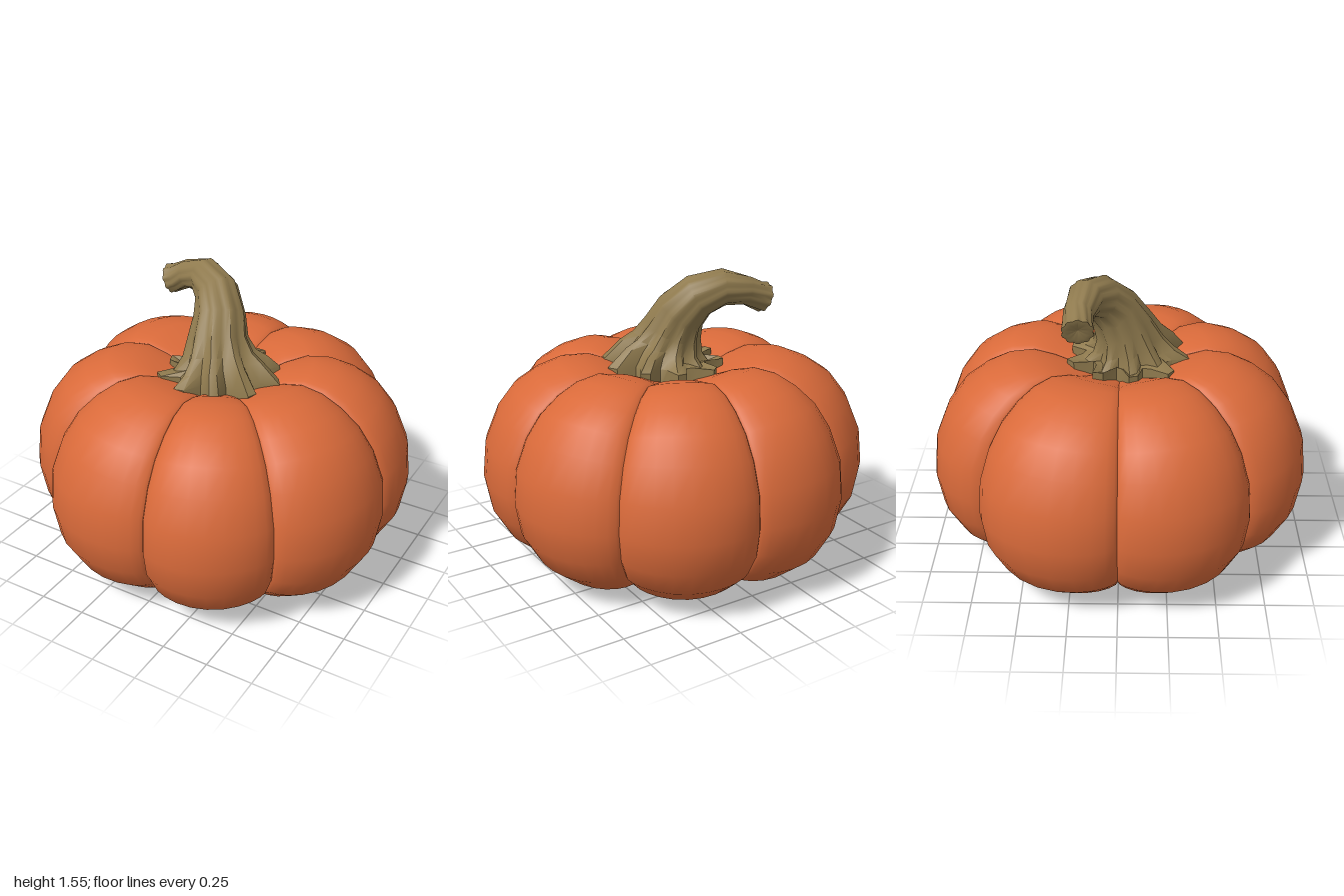
import * as THREE from 'three';
import { toCreasedNormals } from 'three/addons/utils/BufferGeometryUtils.js';

// Surface over a grid: j runs up the rows, i runs around the columns
function gridSurface(rows, cols, point) {
  const pos = [], index = [];
  for (let j = 0; j <= rows; j++)
    for (let i = 0; i <= cols; i++) pos.push(...point(i, j));
  for (let j = 0; j < rows; j++)
    for (let i = 0; i < cols; i++) {
      const a = j * (cols + 1) + i, b = a + 1, c = a + cols + 1, d = c + 1;
      index.push(a, c, b, b, c, d);
    }
  const g = new THREE.BufferGeometry();
  g.setAttribute('position', new THREE.Float32BufferAttribute(pos, 3));
  g.setIndex(index);
  g.computeVertexNormals();
  return g;
}

// Profiles as [radius, height], bottom centre to top centre
const crest = [
  [0, 0.17], [0.12, 0.13], [0.24, 0.06], [0.4, 0.015], [0.55, 0.005], [0.65, 0.02], [0.78, 0.065],
  [0.91, 0.17], [0.99, 0.31], [1.02, 0.48], [1.0, 0.67], [0.93, 0.84], [0.84, 0.96],
  [0.73, 1.035], [0.61, 1.085], [0.48, 1.095], [0.35, 1.065], [0.25, 1.025], [0.14, 0.99], [0, 0.97],
];
const groove = [
  [0, 0.17], [0.12, 0.15], [0.24, 0.11], [0.38, 0.07], [0.5, 0.055], [0.6, 0.07], [0.71, 0.115],
  [0.82, 0.21], [0.89, 0.33], [0.915, 0.48], [0.9, 0.65], [0.84, 0.8], [0.76, 0.91],
  [0.66, 0.99], [0.56, 1.04], [0.45, 1.06], [0.34, 1.035], [0.25, 1.0], [0.14, 0.98], [0, 0.97],
];

// Grooves around the body: angle from +x towards +z in degrees, radius; then the crest radius of the next lobe
const grooves = [
  [-1, 0.945, 1.025], [44, 0.93, 1.02], [84.5, 0.914, 1.01], [133, 0.89, 1.015],
  [180, 0.915, 1.03], [231.5, 0.87, 1.005], [275.6, 0.925, 1.02], [318, 0.935, 1.02], [359, 0.945, 0],
];

function lobeGeometry(k) {
  const [a0, r0, top] = grooves[k], [a1, r1] = grooves[k + 1];
  const cols = 12;
  return gridSurface(crest.length - 1, cols, (i, j) => {
    const t = (1 - Math.cos(Math.PI * i / cols)) / 2;
    const a = THREE.MathUtils.degToRad(a0 + (a1 - a0) * t);
    const bulge = Math.pow(Math.max(0, Math.sin(Math.PI * t)), 0.6);
    const low = groove[j][0] * (r0 + (r1 - r0) * t) / 0.915;
    const high = crest[j][0] * top / 1.02;
    const r = low + (high - low) * bulge;
    const y = groove[j][1] + (crest[j][1] - groove[j][1]) * bulge;
    return [r * Math.cos(a), y, r * Math.sin(a)];
  });
}

// Stem rings: x, y, z, radius, rib depth
const stemRings = [
  [0.03, 0.97, 0.05, 0.27, 0.2], [0.03, 1.065, 0.05, 0.27, 0.23], [0.02, 1.1, 0.05, 0.215, 0.17],
  [0.01, 1.15, 0.04, 0.178, 0.1], [-0.01, 1.23, 0.02, 0.15, 0.06], [-0.03, 1.33, -0.03, 0.13, 0.05],
  [-0.09, 1.42, -0.1, 0.112, 0.04], [-0.2, 1.462, -0.165, 0.092, 0.04],
  [-0.32, 1.435, -0.195, 0.073, 0.04], [-0.39, 1.4, -0.197, 0.072, 0.05], [-0.43, 1.385, -0.195, 0.078, 0.06],
];
const UP = new THREE.Vector3(0, 1, 0);
const RIBS = 10, SIDES = 40;

function stemPoint(i, j, shrink = 1, push = 0) {
  const at = (n) => new THREE.Vector3(...stemRings[n].slice(0, 3));
  const [, , , r, depth] = stemRings[j];
  const dir = j < 2 ? UP.clone()
    : at(Math.min(j + 1, stemRings.length - 1)).sub(at(j - 1)).normalize();
  const turn = new THREE.Quaternion().setFromUnitVectors(UP, dir);
  const a = (i % SIDES) / SIDES * Math.PI * 2;
  // Uneven root lengths at the foot
  const uneven = j < 2 ? 1 + 0.06 * Math.sin(3 * a + 1) : 1;
  const rr = r * uneven * shrink * (1 + depth * Math.cos(RIBS * a + 0.6));
  return new THREE.Vector3(rr * Math.cos(a), push, rr * Math.sin(a))
    .applyQuaternion(turn).add(at(j)).toArray();
}

export function createModel() {
  const orange = new THREE.MeshStandardMaterial({ color: 0xd96a3a });
  orange.name = 'pumpkin orange';
  const olive = new THREE.MeshStandardMaterial({ color: 0x8f7a4e });
  olive.name = 'stem olive brown';

  const model = new THREE.Group();
  model.name = 'pumpkin';
  const add = (parent, name, geometry, material) => {
    const mesh = new THREE.Mesh(geometry, material);
    mesh.name = name;
    parent.add(mesh);
  };

  // Body: eight separate lobes meeting in sharp grooves
  const body = new THREE.Group();
  body.name = 'body';
  model.add(body);
  for (let k = 0; k < 8; k++) add(body, `lobe${k + 1}`, lobeGeometry(k), orange);

  // Stem: ribbed, bent, with splayed roots and a hollowed cut end
  const stem = new THREE.Group();
  stem.name = 'stem';
  model.add(stem);
  const last = stemRings.length - 1;
  const stalk = gridSurface(last, SIDES, (i, j) => stemPoint(i, j));
  add(stem, 'stalk', toCreasedNormals(stalk, 0.7), olive);
  const cut = gridSurface(2, SIDES, (i, j) => stemPoint(i, last, [1, 0.65, 0][j], [0, 0.004, -0.012][j]));
  add(stem, 'cutEnd', cut, olive);

  return model;
}
